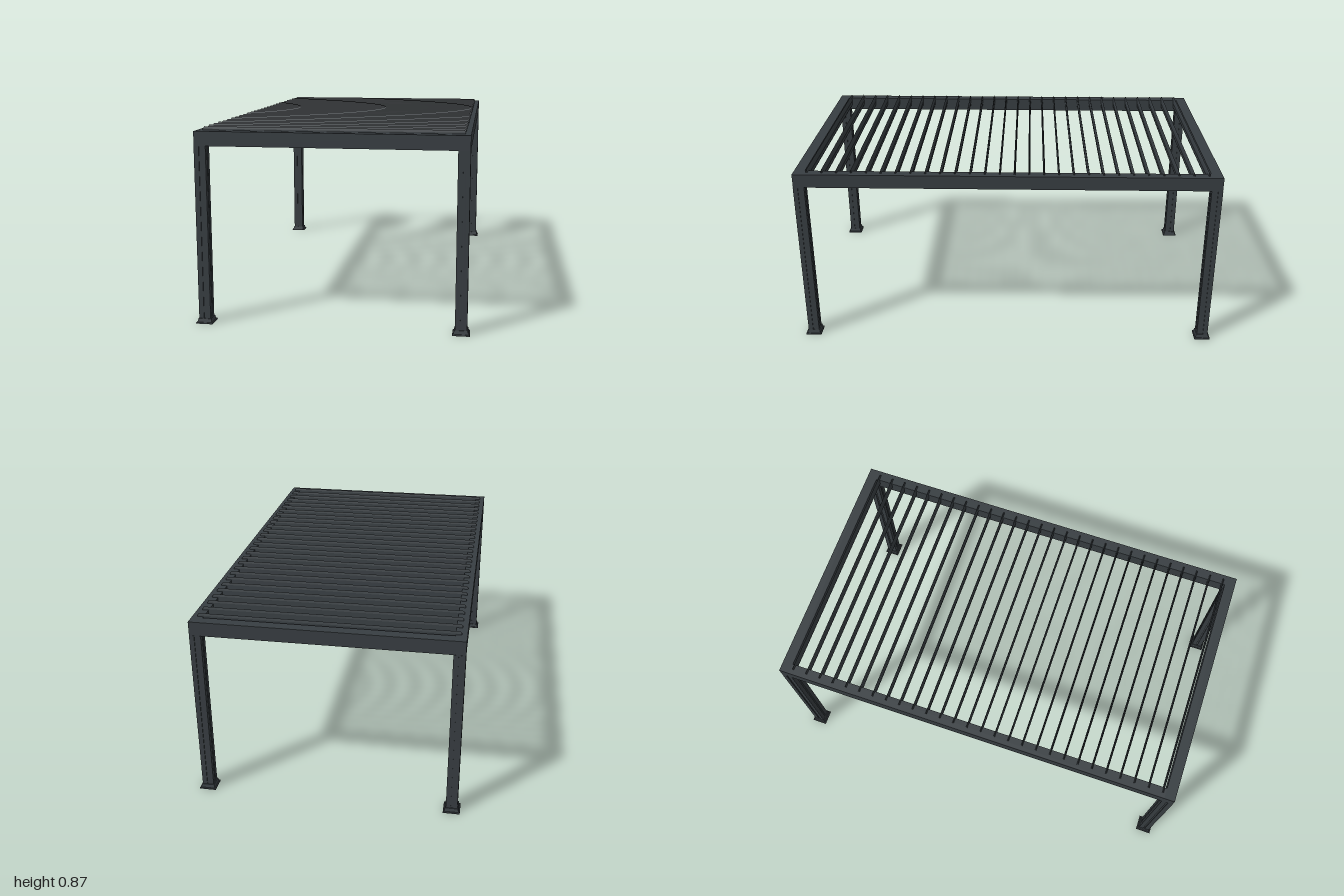
import * as THREE from 'three';

const material = new THREE.MeshStandardMaterial({ color: 0x383e42 });
const POST_X = 0.566, POST_Z = 0.962, BEAM_BOTTOM = 0.793, BEAM_TOP = 0.857;

function add(parent, name, geometry, x = 0, y = 0, z = 0) {
  const mesh = new THREE.Mesh(geometry, material);
  mesh.name = name;
  mesh.position.set(x, y, z);
  parent.add(mesh);
  return mesh;
}

// Square section with a shallow groove down the middle of every side
function postGeometry(height) {
  const h = 0.026, g = 0.004, d = 0.004;
  const side = [[-h, -h], [-g, -h], [-g, -h + d], [g, -h + d], [g, -h]];
  const points = [];
  for (let i = 0; i < 4; i++) {
    const c = [1, 0, -1, 0][i], s = [0, 1, 0, -1][i];
    for (const [x, y] of side) points.push(new THREE.Vector2(x * c - y * s, x * s + y * c));
  }
  const geo = new THREE.ExtrudeGeometry(new THREE.Shape(points), { depth: height, bevelEnabled: false });
  return geo.rotateX(-Math.PI / 2);
}

// Four-sided tapered block standing on y = 0
function taperedBlock(bottomHalf, topHalf, height) {
  const r = Math.SQRT2;
  const geo = new THREE.CylinderGeometry(topHalf * r, bottomHalf * r, height, 4).toNonIndexed();
  geo.rotateY(Math.PI / 4).translate(0, height / 2, 0);
  geo.computeVertexNormals();
  return geo;
}

// Upright blade with pointed edges, its upper corners clipped at both ends
function louverGeometry() {
  const halfLength = 0.569, top = 0.872, bottom = 0.812;
  const section = [[0, top], [-0.003, 0.862], [-0.005, 0.842], [-0.003, 0.82],
    [0, bottom], [0.003, 0.82], [0.005, 0.842], [0.003, 0.862]];
  const shape = new THREE.Shape(section.map(([z, y]) => new THREE.Vector2(z, y)));
  const geo = new THREE.ExtrudeGeometry(shape, { depth: 2 * halfLength, bevelEnabled: false });
  geo.translate(0, 0, -halfLength).rotateY(Math.PI / 2);
  const p = geo.attributes.position;
  for (let i = 0; i < p.count; i++) {
    if (p.getY(i) > 0.87) p.setX(i, p.getX(i) - Math.sign(p.getX(i)) * 0.006);
  }
  geo.computeVertexNormals();
  return geo;
}

export function createModel() {
  const model = new THREE.Group();
  model.name = 'louveredPergola';

  // Corner posts with stepped feet
  const post = postGeometry(BEAM_BOTTOM);
  const flange = taperedBlock(0.038, 0.037, 0.006);
  const collar = taperedBlock(0.033, 0.029, 0.017);
  for (const sx of [-1, 1]) for (const sz of [-1, 1]) {
    const corner = new THREE.Group();
    corner.name = 'cornerPost';
    corner.position.set(sx * POST_X, 0, sz * POST_Z);
    add(corner, 'post', post);
    add(corner, 'footFlange', flange);
    add(corner, 'footCollar', collar, 0, 0.005, 0);
    model.add(corner);
  }

  // Perimeter beams: end beams run full width, side beams fit between them
  const height = BEAM_TOP - BEAM_BOTTOM, midY = (BEAM_TOP + BEAM_BOTTOM) / 2;
  const endBeam = new THREE.BoxGeometry(1.184, height, 0.05);
  const sideBeam = new THREE.BoxGeometry(0.05, height, 1.874);
  for (const s of [-1, 1]) {
    add(model, s > 0 ? 'frontBeam' : 'backBeam', endBeam, 0, midY, s * POST_Z);
    add(model, s > 0 ? 'leftBeam' : 'rightBeam', sideBeam, s * 0.567, midY, 0);
  }

  // Roof louvers, set upright and evenly spaced
  const louver = louverGeometry(), count = 28, reach = 0.924;
  const roof = new THREE.Group();
  roof.name = 'roofLouvers';
  for (let i = 0; i < count; i++) {
    add(roof, 'louver', louver, 0, 0, -reach + (2 * reach * i) / (count - 1));
  }
  model.add(roof);

  return model;
}
